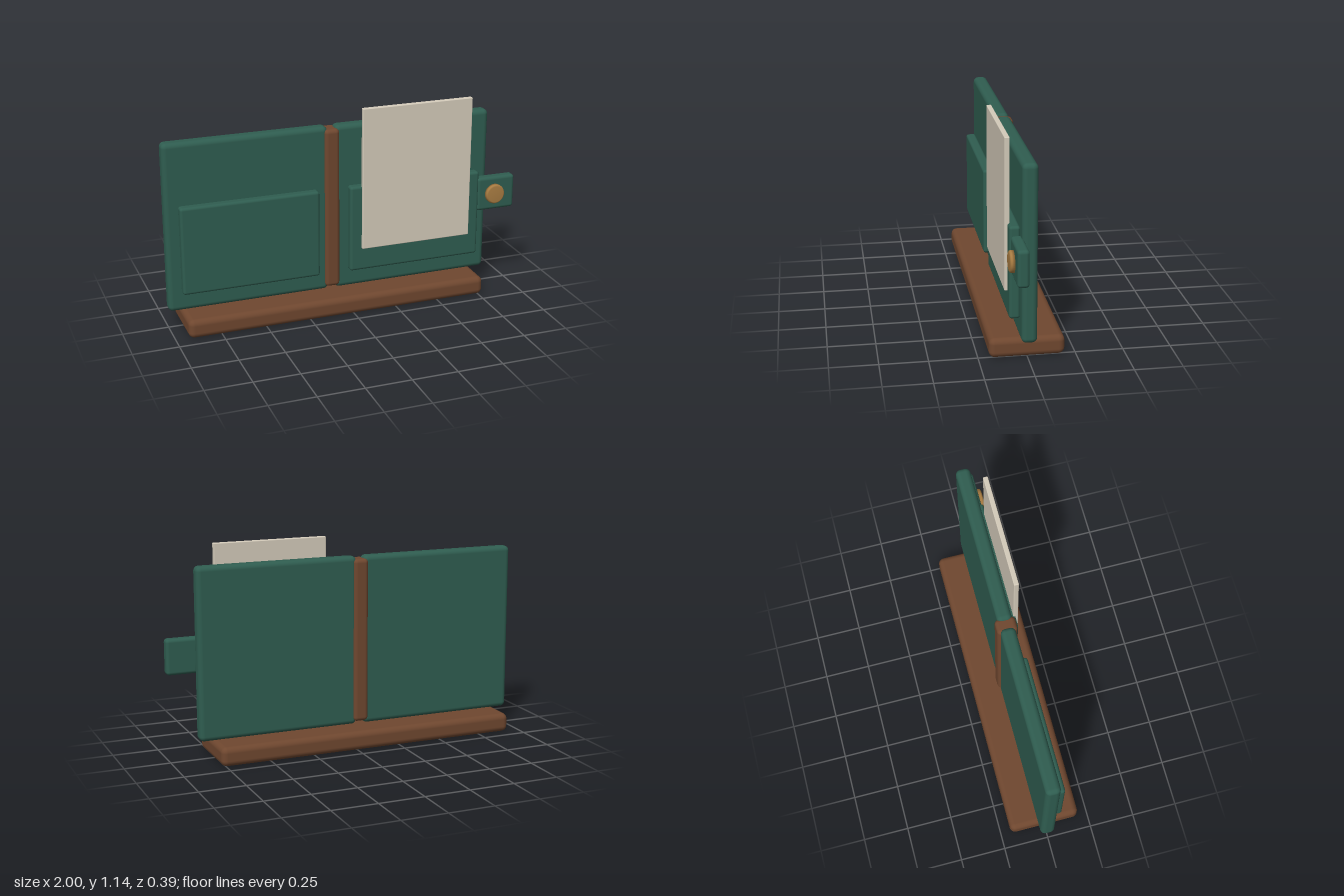
import * as THREE from 'three';
import { RoundedBoxGeometry } from 'three/addons/geometries/RoundedBoxGeometry.js';

export function createModel() {
  const group = new THREE.Group();
  const material = (color) => new THREE.MeshStandardMaterial({ color });
  const green = material(0x2f5d50);
  const brown = material(0x6f472f);
  const cream = material(0xd4cbba);
  const brass = material(0xa87c42);

  // Rounded slab given by its extents on each axis
  function slab(name, mat, [x0, x1], [y0, y1], [z0, z1], radius) {
    const geometry = new RoundedBoxGeometry(x1 - x0, y1 - y0, z1 - z0, 3, radius);
    const mesh = new THREE.Mesh(geometry, mat);
    mesh.name = name;
    mesh.position.set((x0 + x1) / 2, (y0 + y1) / 2, (z0 + z1) / 2);
    group.add(mesh);
  }

  // Stand and the spine joining the two covers
  slab('base', brown, [-0.93, 0.775], [0, 0.105], [-0.195, 0.195], 0.032);
  slab('spine', brown, [-0.12, -0.035], [0.12, 1.027], [-0.055, 0.055], 0.022);

  // Mirrored covers and pockets either side of the spine
  const spineX = -0.0775;
  for (const [side, s] of [['right', -1], ['left', 1]]) {
    const span = (a, b) => [spineX + s * a, spineX + s * b].sort((p, q) => p - q);
    slab(side + 'Cover', green, span(0.02, 0.9225), [0.102, 1.042], [-0.04, 0.04], 0.027);
    slab(side + 'Pocket', green, span(0.0875, 0.8525), [0.213, 0.703], [0.038, 0.094], 0.015);
  }

  // Sheet tucked in at the front
  slab('card', cream, [0.075, 0.712], [0.342, 1.142], [0.082, 0.109], 0.005);

  // Closing tab with its snap button
  slab('strap', green, [0.772, 0.998], [0.465, 0.659], [0.028, 0.088], 0.018);
  const profile = [[0, 0], [0.056, 0], [0.056, 0.02], [0.053, 0.026], [0.046, 0.03], [0, 0.03]]
    .map(([x, y]) => new THREE.Vector2(x, y));
  const button = new THREE.Mesh(new THREE.LatheGeometry(profile, 32), brass);
  button.name = 'snapButton';
  button.rotation.x = Math.PI / 2;
  button.position.set(0.873, 0.562, 0.083);
  group.add(button);

  return group;
}
